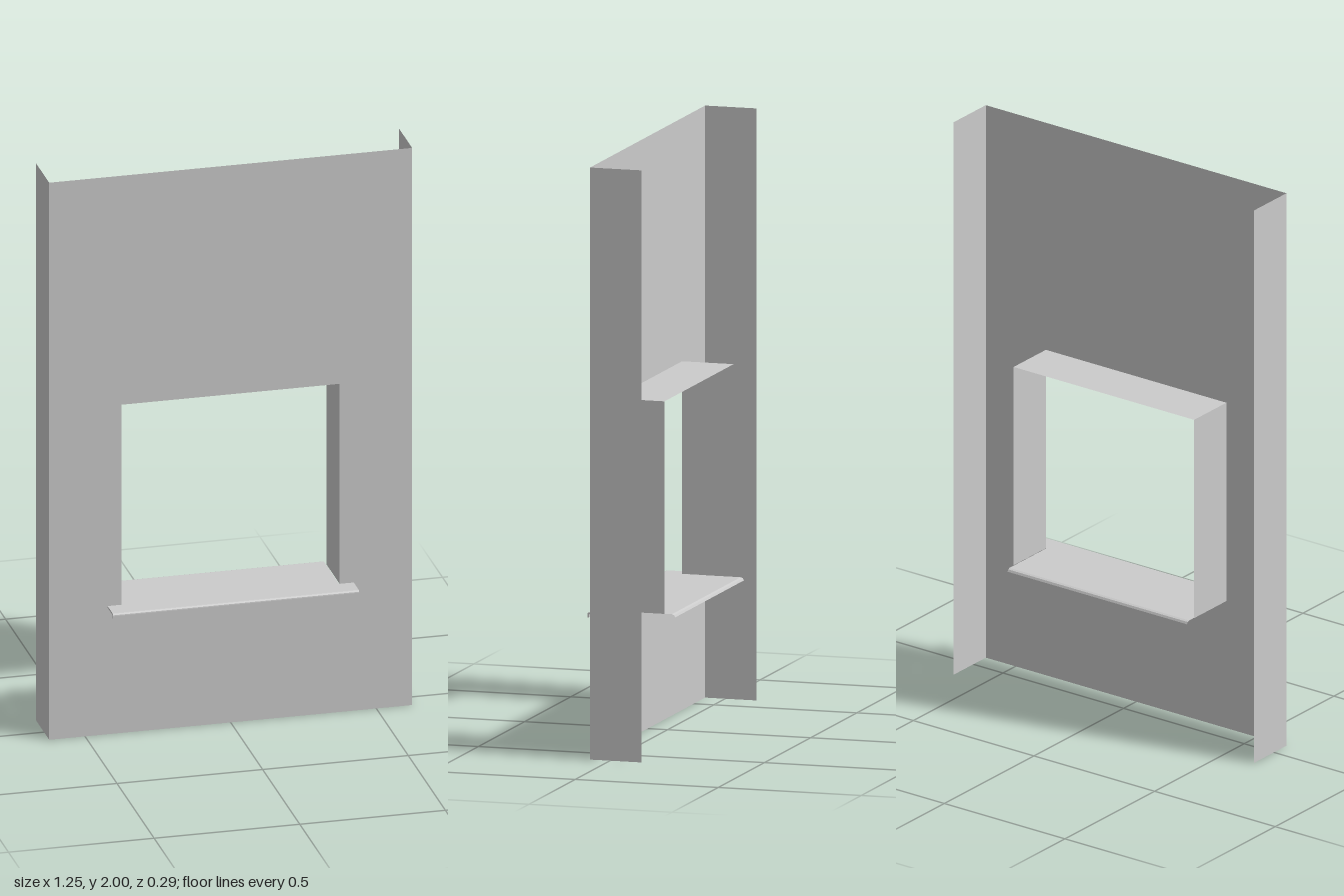
import * as THREE from 'three';

const FRONT = 0.07, BACK = -0.11;          // depth of the folded sheet
const WALL_X = 0.623, WALL_H = 2;          // panel half width and height
const OPEN_X = 0.374, OPEN_LOW = 0.46, OPEN_TOP = 1.178;

const material = new THREE.MeshStandardMaterial({
  color: 0xcccccc, side: THREE.DoubleSide, flatShading: true,
});

function add(group, name, geometry) {
  const mesh = new THREE.Mesh(geometry, material);
  mesh.name = name;
  group.add(mesh);
  return mesh;
}

// Thin sheet swept along x from a [z, y] profile
function sheet(profile, halfWidth) {
  const positions = [], index = [];
  profile.forEach(([z, y], i) => {
    positions.push(-halfWidth, y, z, halfWidth, y, z);
    if (i) {
      const a = 2 * i - 2;
      index.push(a, a + 2, a + 1, a + 1, a + 2, a + 3);
    }
  });
  const geometry = new THREE.BufferGeometry();
  geometry.setAttribute('position', new THREE.Float32BufferAttribute(positions, 3));
  geometry.setIndex(index);
  geometry.computeVertexNormals();
  return geometry;
}

// Upright sheet facing sideways, between the front and back planes
function sideSheet(group, name, x, low, high) {
  const geometry = new THREE.PlaneGeometry(FRONT - BACK, high - low);
  geometry.rotateY(Math.sign(x) * Math.PI / 2);
  geometry.translate(x, (low + high) / 2, (FRONT + BACK) / 2);
  add(group, name, geometry);
}

function rectangle(path, halfWidth, low, high) {
  path.moveTo(-halfWidth, low);
  path.lineTo(halfWidth, low);
  path.lineTo(halfWidth, high);
  path.lineTo(-halfWidth, high);
  path.closePath();
  return path;
}

export function createModel() {
  const group = new THREE.Group();
  group.name = 'wallPanelWithWindowOpening';

  // Front face with the window cut out
  const face = rectangle(new THREE.Shape(), WALL_X, 0, WALL_H);
  face.holes.push(rectangle(new THREE.Path(), OPEN_X, OPEN_LOW, OPEN_TOP));
  add(group, 'frontPanel', new THREE.ShapeGeometry(face)).position.z = FRONT;

  // Outer returns and window jambs
  for (const [side, label] of [[1, 'left'], [-1, 'right']]) {
    sideSheet(group, label + 'Return', side * WALL_X, 0, WALL_H);
    sideSheet(group, label + 'Jamb', side * OPEN_X, OPEN_LOW, OPEN_TOP);
  }

  // Window head
  add(group, 'windowHead', sheet([[BACK, OPEN_TOP], [FRONT, OPEN_TOP]], OPEN_X));

  // Inner sill, with its back edge turned down slightly
  add(group, 'innerSill', sheet(
    [[FRONT, OPEN_LOW], [-0.135, OPEN_LOW], [-0.143, 0.457], [-0.147, 0.45]], OPEN_X - 0.002));

  // Projecting outer sill: a thin plate with a rounded drip lip
  const lip = new THREE.Shape();
  lip.moveTo(FRONT, OPEN_LOW);
  lip.lineTo(0.136, OPEN_LOW);
  lip.quadraticCurveTo(0.144, OPEN_LOW, 0.144, 0.452);
  lip.lineTo(0.144, 0.443);
  lip.lineTo(0.139, 0.443);
  lip.lineTo(0.139, 0.451);
  lip.quadraticCurveTo(0.139, 0.454, 0.136, 0.454);
  lip.lineTo(FRONT, 0.454);
  lip.closePath();
  const sill = new THREE.ExtrudeGeometry(lip, { depth: 0.845, bevelEnabled: false, curveSegments: 4 });
  sill.translate(0, 0, -0.4225);
  sill.rotateY(-Math.PI / 2);
  add(group, 'outerSill', sill);

  return group;
}
